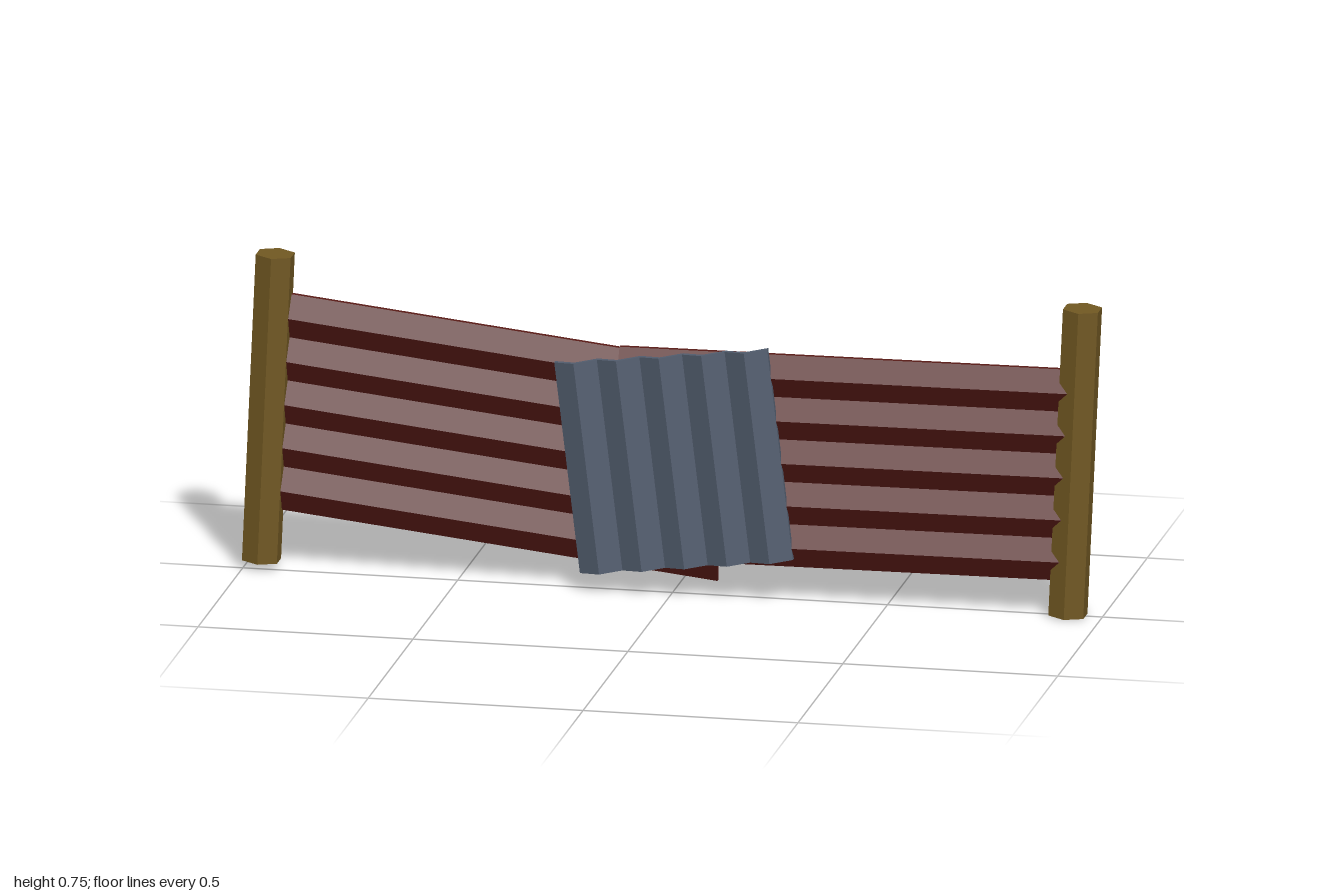
import * as THREE from 'three';

const material = (color) => new THREE.MeshStandardMaterial({ color, flatShading: true });
const wood = material(0x715822);
const rust = material(0x581a16);
const steel = material(0x525d6e);

// Leaning hexagonal post running between two points
function makePost(name, bottom, top) {
  const axis = new THREE.Vector3().subVectors(top, bottom);
  const post = new THREE.Mesh(new THREE.CylinderGeometry(0.047, 0.047, axis.length(), 6), wood);
  post.name = name;
  post.position.addVectors(bottom, top).multiplyScalar(0.5);
  post.rotation.z = Math.atan2(-axis.x, axis.y);
  return post;
}

// Corrugated sheet: a zigzag strip with thickness, ridges running along local x
function makeSheet(name, mat, length, height, x, y, z, angle, depth = 0.028) {
  const folds = 10;
  const thickness = 0.012;
  const front = [];
  const back = [];
  for (let i = 0; i <= folds; i++) {
    const across = (i / folds - 0.5) * height;
    const wave = (i % 2 ? 0.5 : -0.5) * depth;
    back.push(new THREE.Vector2(across, wave - thickness / 2));
    front.unshift(new THREE.Vector2(across, wave + thickness / 2));
  }
  const geometry = new THREE.ExtrudeGeometry(new THREE.Shape([...back, ...front]), {
    depth: length, bevelEnabled: false,
  });
  geometry.translate(0, 0, -length / 2);
  // Profile lies in the y-z plane and is extruded along x
  geometry.applyMatrix4(new THREE.Matrix4().makeBasis(
    new THREE.Vector3(0, 1, 0), new THREE.Vector3(0, 0, 1), new THREE.Vector3(1, 0, 0)));
  const sheet = new THREE.Mesh(geometry, mat);
  sheet.name = name;
  sheet.position.set(x, y, z);
  sheet.rotation.z = angle;
  return sheet;
}

export function createModel() {
  const model = new THREE.Group();
  model.name = 'scrapFence';

  // End posts
  model.add(
    makePost('rightPost', new THREE.Vector3(-0.96, 0.018, -0.017), new THREE.Vector3(-0.928, 0.744, -0.017)),
    makePost('leftPost', new THREE.Vector3(0.92, 0.002, 0.002), new THREE.Vector3(0.954, 0.729, 0.002)),
  );

  // Two overlapping rusty sheets
  model.add(
    makeSheet('rightSheet', rust, 1.07, 0.511, -0.405, 0.338, -0.016, -0.108),
    makeSheet('leftSheet', rust, 1.06, 0.5, 0.41, 0.331, 0.018, 0.006),
  );

  // Patch over the joint, ridges nearly upright
  model.add(makeSheet('patchSheet', steel, 0.499, 0.499, 0.01, 0.322, 0.044, Math.PI / 2 + 0.12, 0.024));

  return model;
}
